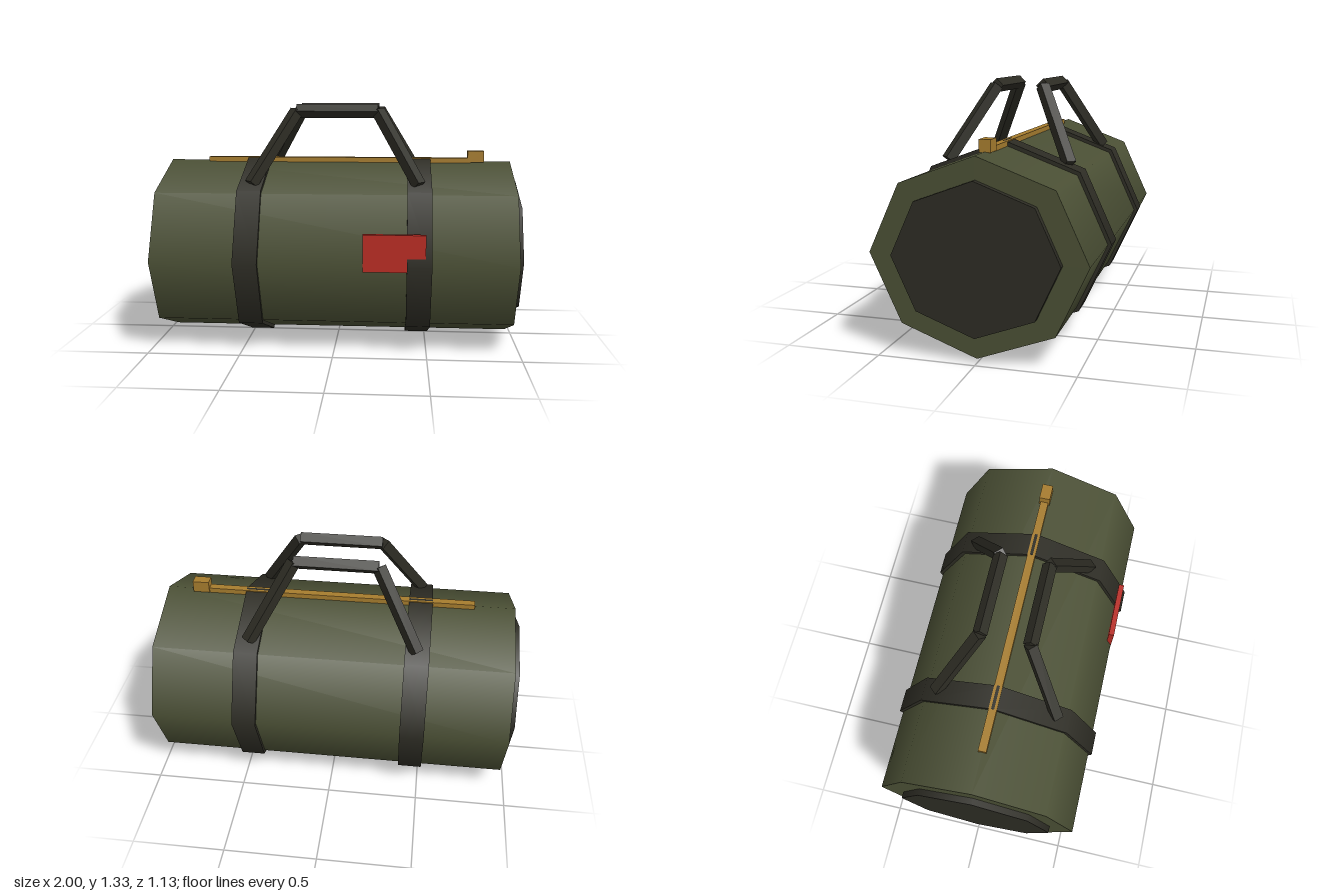
import * as THREE from 'three';

export function createModel() {
  const model = new THREE.Group();
  model.name = 'duffelBag';

  const material = (name, color, flatShading = false) => {
    const m = new THREE.MeshStandardMaterial({ color, flatShading });
    m.name = name;
    return m;
  };
  const canvas = material('olive canvas', 0x4b5035);
  const webbing = material('dark webbing', 0x2d2c24);
  const brass = material('brass', 0xa67c2e);
  const red = material('red patch', 0xb92b22);

  const add = (name, geometry, mat, parent = model) => {
    const mesh = new THREE.Mesh(geometry, mat);
    mesh.name = name;
    parent.add(mesh);
    return mesh;
  };

  // Eight-sided drum lying along x, slightly wider than tall
  const centreY = 0.513;
  const drum = (name, x, length, radiusY, radiusZ, mat) => {
    const g = new THREE.CylinderGeometry(1, 1, length, 8);
    g.rotateZ(Math.PI / 2);
    g.scale(1, radiusY, radiusZ);
    g.translate(x, centreY, 0);
    return add(name, g, mat);
  };

  const box = (name, x0, x1, y0, y1, z0, z1, mat) => {
    const g = new THREE.BoxGeometry(x1 - x0, y1 - y0, z1 - z0);
    g.translate((x0 + x1) / 2, (y0 + y1) / 2, (z0 + z1) / 2);
    return add(name, g, mat);
  };

  // Body, end panels and the two straps around it
  drum('body', 0, 1.93, 0.491, 0.547, canvas);
  for (const side of [-1, 1]) {
    const label = side > 0 ? 'left' : 'right';
    drum(label + 'EndPanel', side * 0.98, 0.04, 0.379, 0.42, webbing);
    drum(label + 'Strap', side * 0.453, 0.13, 0.513, 0.567, webbing);
  }

  // Zip and its pull along the top ridge
  box('zip', -0.745, 0.745, 0.98, 1.023, -0.022, 0.022, brass);
  box('zipPull', 0.727, 0.817, 1.0, 1.063, -0.03, 0.03, brass);

  // Patch on the front
  box('patch', 0.16, 0.485, 0.48, 0.675, 0.519, 0.549, red);

  // Four-sided bar between two points
  const up = new THREE.Vector3(0, 1, 0);
  const bar = (name, a, b, parent) => {
    const dir = b.clone().sub(a);
    const g = new THREE.CylinderGeometry(0.038, 0.038, dir.length(), 4).toNonIndexed();
    g.computeVertexNormals();
    const mesh = add(name, g, webbing, parent);
    mesh.position.copy(a).add(b).multiplyScalar(0.5);
    mesh.quaternion.setFromUnitVectors(up, dir.normalize());
  };

  // Front and back carrying handles leaning towards each other
  for (const s of [1, -1]) {
    const handle = new THREE.Group();
    handle.name = s > 0 ? 'frontHandle' : 'backHandle';
    model.add(handle);
    const points = [
      [-0.45, 0.906, 0.33], [-0.225, 1.288, 0.13],
      [0.225, 1.288, 0.13], [0.45, 0.906, 0.33],
    ].map(([x, y, z]) => new THREE.Vector3(x, y, z * s));
    bar('rightHandleLeg', points[0], points[1], handle);
    bar('handleGrip', points[1], points[2], handle);
    bar('leftHandleLeg', points[3], points[2], handle);
  }

  return model;
}
